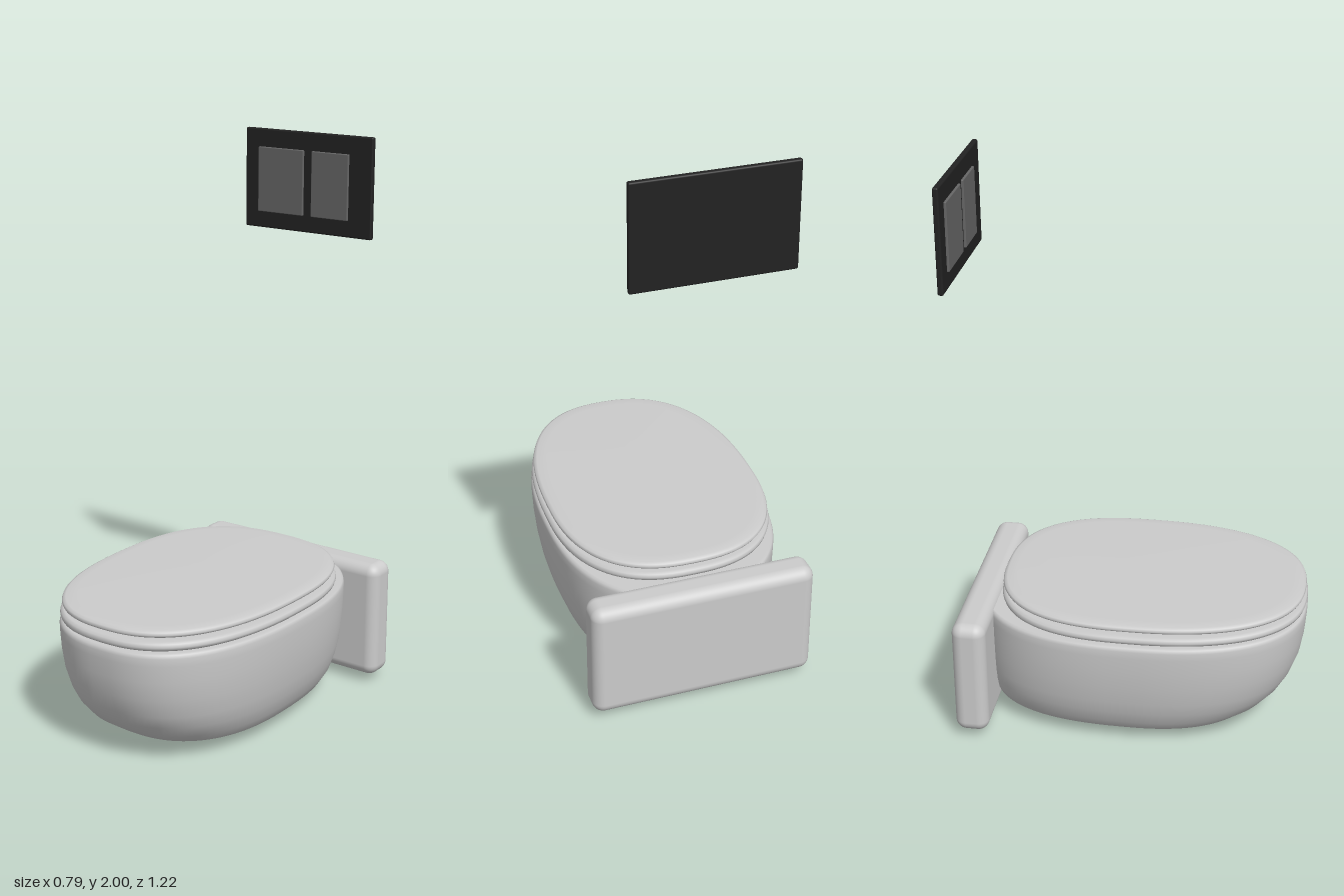
import * as THREE from 'three';
import { RoundedBoxGeometry } from 'three/addons/geometries/RoundedBoxGeometry.js';

const SIDES = 96;
const grey = new THREE.MeshStandardMaterial({ color: 0xcccccc });
const black = new THREE.MeshStandardMaterial({ color: 0x222222 });
const buttonGrey = new THREE.MeshStandardMaterial({ color: 0x666666 });

// Squared-off oval outline with its own front and back lengths
function eggPoint(angle, width, front, back) {
  const c = Math.cos(angle), s = Math.sin(angle);
  const power = 2 / (s >= 0 ? 2.4 : 2.5);
  return [
    Math.sign(c) * width * Math.abs(c) ** power,
    Math.sign(s) * (s >= 0 ? front : back) * Math.abs(s) ** power,
  ];
}

// Skins a stack of outlines, each given as [y, half width, front, back]
function loftEgg(rows, closed = false) {
  const positions = [], index = [];
  for (const [y, width, front, back] of rows) {
    for (let j = 0; j < SIDES; j++) {
      const [x, z] = eggPoint((j / SIDES) * Math.PI * 2, width, front, back);
      positions.push(x, y, z);
    }
  }
  const bands = closed ? rows.length : rows.length - 1;
  for (let i = 0; i < bands; i++) {
    const lower = i * SIDES, upper = ((i + 1) % rows.length) * SIDES;
    for (let j = 0; j < SIDES; j++) {
      const k = (j + 1) % SIDES;
      index.push(lower + j, upper + j, lower + k, lower + k, upper + j, upper + k);
    }
  }
  const geometry = new THREE.BufferGeometry();
  geometry.setAttribute('position', new THREE.Float32BufferAttribute(positions, 3));
  geometry.setIndex(index);
  geometry.computeVertexNormals();
  return geometry;
}

export function createModel() {
  const model = new THREE.Group();
  model.name = 'wallHungToilet';

  function add(name, geometry, material, x = 0, y = 0, z = 0) {
    const mesh = new THREE.Mesh(geometry, material);
    mesh.name = name;
    mesh.position.set(x, y, z);
    model.add(mesh);
  }

  // Bowl: rounded underside, outer wall, rim, then the basin inside
  add('bowl', loftEgg([
    [0.004, 0.001, 0.001, 0.001],
    [0.008, 0.12, 0.15, 0.2],
    [0.017, 0.21, 0.27, 0.38],
    [0.034, 0.28, 0.37, 0.48],
    [0.06, 0.317, 0.435, 0.52],
    [0.1, 0.343, 0.493, 0.535],
    [0.15, 0.362, 0.538, 0.545],
    [0.2, 0.375, 0.567, 0.55],
    [0.27, 0.387, 0.592, 0.55],
    [0.34, 0.394, 0.604, 0.55],
    [0.4, 0.397, 0.609, 0.55],
    [0.427, 0.397, 0.61, 0.55],
    [0.439, 0.393, 0.606, 0.546],
    [0.443, 0.384, 0.598, 0.54],
    [0.443, 0.28, 0.46, 0.3],
    [0.43, 0.265, 0.44, 0.285],
    [0.3, 0.23, 0.39, 0.25],
    [0.17, 0.12, 0.2, 0.14],
    [0.14, 0.001, 0.001, 0.001],
  ]), grey);

  // Seat: closed ring with a rounded outer edge
  add('seat', loftEgg([
    [0.448, 0.26, 0.43, 0.28],
    [0.45, 0.38, 0.596, 0.468],
    [0.456, 0.39, 0.606, 0.478],
    [0.466, 0.393, 0.609, 0.481],
    [0.477, 0.39, 0.606, 0.478],
    [0.483, 0.38, 0.596, 0.468],
    [0.483, 0.26, 0.43, 0.28],
  ], true), grey);

  // Lid: thin slab with a rounded edge
  add('lid', loftEgg([
    [0.487, 0.001, 0.001, 0.001],
    [0.489, 0.26, 0.42, 0.34],
    [0.495, 0.373, 0.59, 0.463],
    [0.5, 0.383, 0.6, 0.473],
    [0.507, 0.386, 0.603, 0.477],
    [0.515, 0.383, 0.6, 0.473],
    [0.52, 0.373, 0.59, 0.463],
    [0.522, 0.34, 0.55, 0.43],
    [0.523, 0.001, 0.001, 0.001],
  ]), grey);

  // Mounting block behind the bowl
  add('wallMount', new RoundedBoxGeometry(0.794, 0.434, 0.12, 8, 0.04), grey, 0, 0.25, -0.54);

  // Flush panel with a large and a small button
  add('flushPanel', new RoundedBoxGeometry(0.54, 0.36, 0.02, 3, 0.006), black, 0, 1.82, -0.6);
  for (const [name, x, width] of [['largeFlushButton', -0.1125, 0.195], ['smallFlushButton', 0.0975, 0.155]]) {
    add(name, new RoundedBoxGeometry(width, 0.235, 0.014, 2, 0.003), buttonGrey, x, 1.8175, -0.589);
  }

  return model;
}
